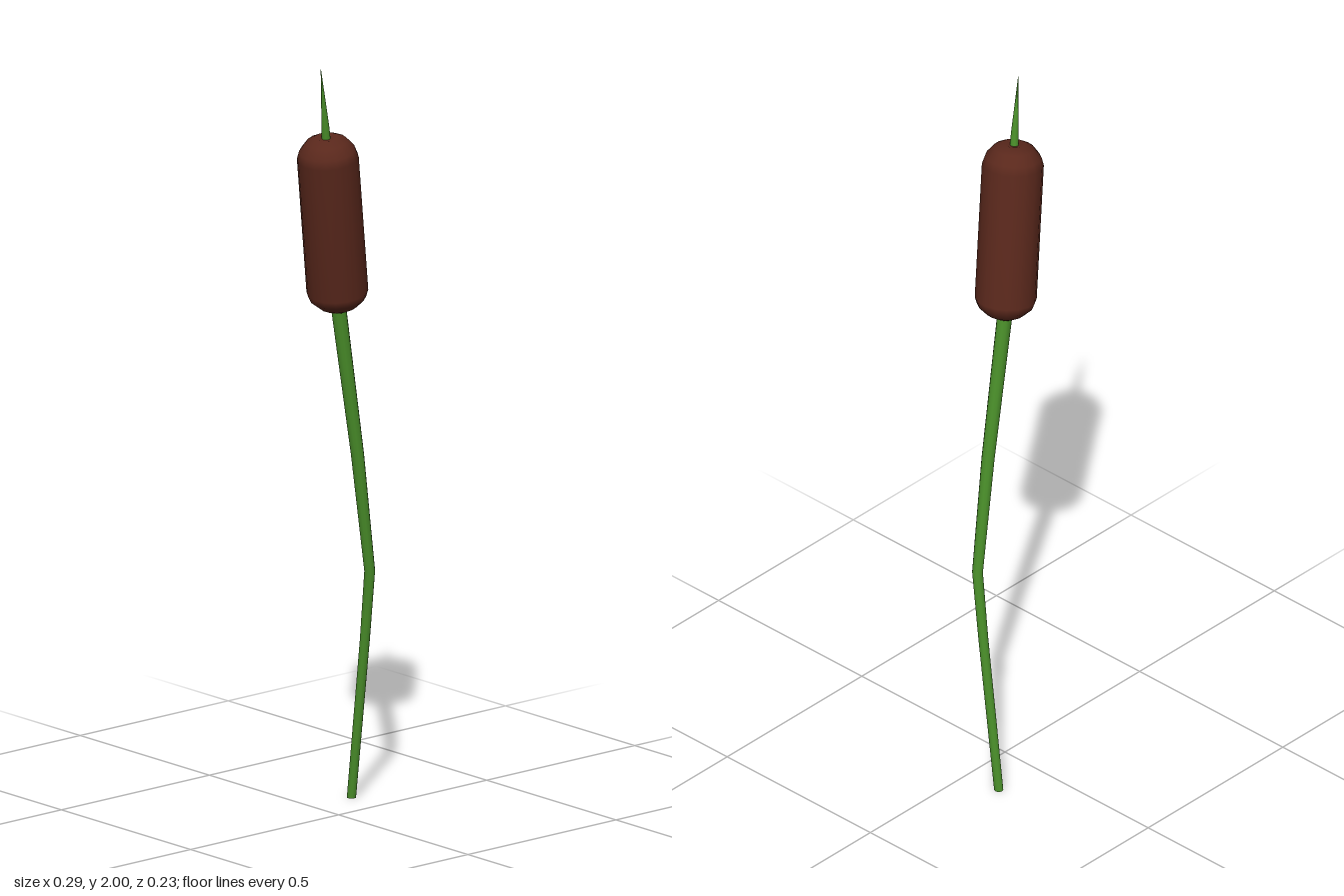
import * as THREE from 'three';

const GREEN = new THREE.MeshStandardMaterial({ color: 0x4a8f2a });
const BROWN = new THREE.MeshStandardMaterial({ color: 0x5a281c });

// Tapered round stalk through level rings, each [x, y, z, radius]
function stalk(rings, sides) {
  const pos = [], index = [], row = sides + 1;
  rings.forEach(([x, y, z, r], i) => {
    for (let j = 0; j <= sides; j++) {
      const a = ((j % sides) / sides) * Math.PI * 2;
      pos.push(x + r * Math.sin(a), y, z + r * Math.cos(a));
      if (i > 0 && j < sides) {
        const p = (i - 1) * row + j, q = i * row + j;
        index.push(p, p + 1, q, p + 1, q + 1, q);
      }
    }
  });
  const g = new THREE.BufferGeometry();
  g.setAttribute('position', new THREE.Float32BufferAttribute(pos, 3));
  g.setIndex(index);
  g.computeVertexNormals();
  // weld the shading across the seam
  const n = g.attributes.normal;
  for (let i = 0; i < rings.length; i++) {
    const a = i * row, b = a + sides;
    const v = new THREE.Vector3().fromBufferAttribute(n, a)
      .add(new THREE.Vector3().fromBufferAttribute(n, b)).normalize();
    n.setXYZ(a, v.x, v.y, v.z);
    n.setXYZ(b, v.x, v.y, v.z);
  }
  return g;
}

function add(group, name, geometry, material) {
  const mesh = new THREE.Mesh(geometry, material);
  mesh.name = name;
  group.add(mesh);
  return mesh;
}

export function createModel() {
  const group = new THREE.Group();
  group.name = 'cattail';

  // Bent stem, thickening toward the head
  add(group, 'stem', stalk([
    [0.134, 0, -0.104, 0.012],
    [0.126, 0.43, -0.043, 0.013],
    [0.118, 0.62, -0.015, 0.014],
    [0.067, 0.94, -0.004, 0.017],
    [-0.009, 1.37, 0.005, 0.02],
  ], 12), GREEN);

  // Flat underside of the stem
  const base = add(group, 'stemBase', new THREE.CircleGeometry(0.012, 12), GREEN);
  base.rotation.x = Math.PI / 2;
  base.position.set(0.134, 0, -0.104);

  // Seed head: cylinder with rounded ends, leaning along its own axis
  const bottom = new THREE.Vector3(-0.011, 1.385, 0.008);
  const top = new THREE.Vector3(-0.071, 1.76, 0.039);
  const axis = top.clone().sub(bottom);
  const len = axis.length();
  const profile = [
    [0, -0.046], [0.025, -0.05], [0.05, -0.037], [0.072, -0.016], [0.079, 0.004],
    [0.079, len - 0.004], [0.072, len + 0.018], [0.053, len + 0.042],
    [0.028, len + 0.055], [0, len + 0.048],
  ].map(([r, y]) => new THREE.Vector2(r, y));
  const head = add(group, 'seedHead', new THREE.LatheGeometry(profile, 16), BROWN);
  head.position.copy(bottom);
  head.quaternion.setFromUnitVectors(new THREE.Vector3(0, 1, 0), axis.normalize());

  // Thin spike at the tip
  add(group, 'spike', stalk([
    [-0.075, 1.77, 0.04, 0.013],
    [-0.083, 1.84, 0.044, 0.01],
    [-0.109, 2, 0.056, 0.0005],
  ], 8), GREEN);

  return group;
}
